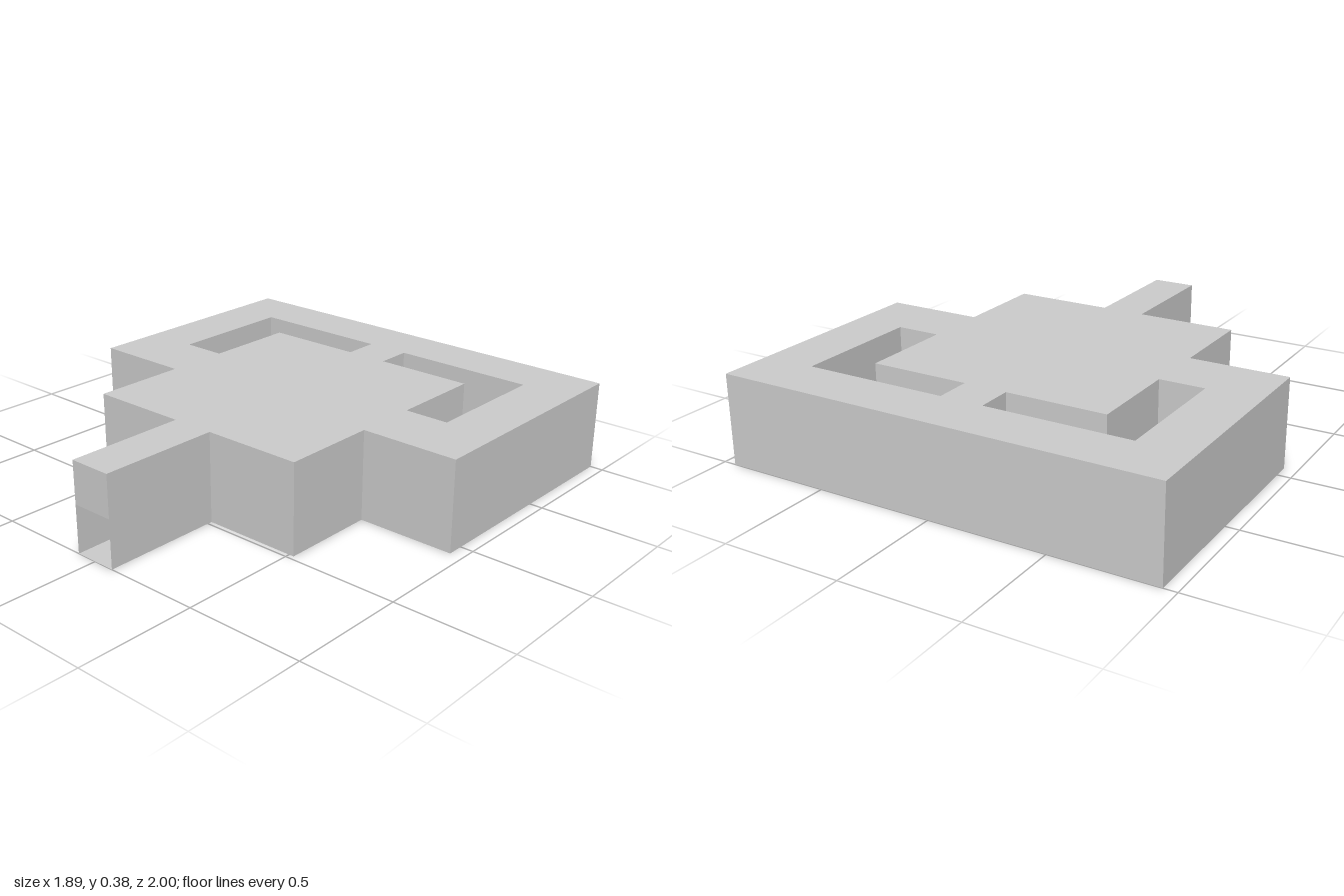
import * as THREE from 'three';

const HEIGHT = 0.385;
const material = new THREE.MeshStandardMaterial({
  color: 0xcccccc, flatShading: true, side: THREE.DoubleSide,
});

const points = (list) => list.map(([x, y]) => new THREE.Vector2(x, y));
const mirror = (list) => list.map(([x, y]) => [-x, y]).reverse();

function addMesh(parent, name, geometry) {
  const mesh = new THREE.Mesh(geometry, material);
  mesh.name = name;
  parent.add(mesh);
}

// Vertical panel between two plan points (plan y is -z), facing outward
function panel(a, b, bottom, top) {
  const dx = b.x - a.x, dy = b.y - a.y;
  return new THREE.PlaneGeometry(Math.hypot(dx, dy), top - bottom)
    .rotateY(Math.atan2(dy, dx))
    .translate((a.x + b.x) / 2, (bottom + top) / 2, -(a.y + b.y) / 2);
}

export function createModel() {
  const group = new THREE.Group();
  group.name = 'hollowPlate';

  // Plan of the left half: stem, core, wing
  const half = [
    [0.093, -1], [0.093, -0.48], [0.522, -0.48],
    [0.522, -0.07], [0.945, -0.07], [0.945, 1],
  ];
  const outline = points([...half, ...mirror(half)]);

  // L-shaped slots on both sides of the bridge
  const slot = [
    [0.093, 0.615], [0.093, 0.77], [0.715, 0.77],
    [0.715, 0.205], [0.522, 0.205], [0.522, 0.615],
  ];
  const slots = [points(slot), points(mirror(slot))];

  // Top and bottom sheets
  const plan = new THREE.Shape(outline);
  plan.holes = slots.map((s) => new THREE.Path(s));
  addMesh(group, 'topSheet',
    new THREE.ShapeGeometry(plan).rotateX(-Math.PI / 2).translate(0, HEIGHT, 0));
  // The bottom is the same symmetric plan turned over to face down
  addMesh(group, 'bottomSheet',
    new THREE.ShapeGeometry(plan).rotateX(-Math.PI / 2).rotateZ(Math.PI));

  // Side walls; the stem's end is closed only in its upper part
  outline.forEach((a, i) => {
    const stemEnd = i === outline.length - 1;
    const b = outline[(i + 1) % outline.length];
    addMesh(group, stemEnd ? 'stemEndPanel' : 'outerWall',
      panel(a, b, stemEnd ? 0.205 : 0, HEIGHT));
  });
  slots.forEach((s) => s.forEach((a, i) => {
    addMesh(group, 'slotWall', panel(a, s[(i + 1) % s.length], 0, HEIGHT));
  }));

  return group;
}
